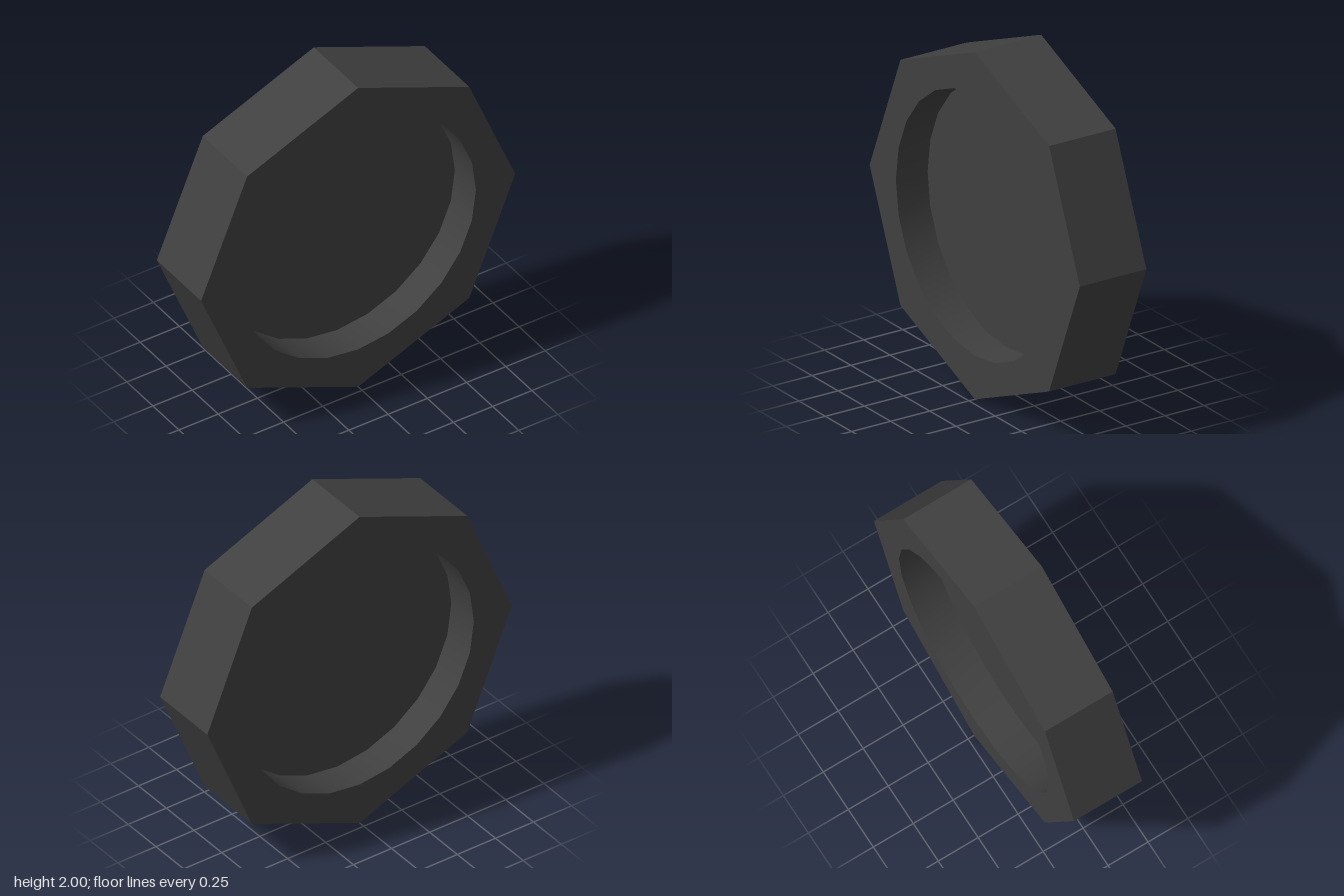
import * as THREE from 'three';
import { toCreasedNormals } from 'three/addons/utils/BufferGeometryUtils.js';

const DEPTH = 0.425;
const BORE_RADIUS = 0.75;
const BORE_SIDES = 24;

// Corners of a regular polygon, starting on +x
function polygon(radius, sides) {
  return Array.from({ length: sides }, (_, i) => {
    const a = (i / sides) * Math.PI * 2;
    return new THREE.Vector2(Math.cos(a) * radius, Math.sin(a) * radius);
  });
}

export function createModel() {
  const model = new THREE.Group();
  model.name = 'octagonalWheel';
  const material = new THREE.MeshStandardMaterial({ color: 0x404040 });

  // Octagonal rim: flat outer sides, smooth round bore
  const outline = new THREE.Shape(polygon(1, 8));
  outline.holes.push(new THREE.Path(polygon(BORE_RADIUS, BORE_SIDES)));
  const rimGeometry = new THREE.ExtrudeGeometry(outline, { depth: DEPTH, bevelEnabled: false });
  rimGeometry.translate(0, 0, -DEPTH / 2);
  const rim = new THREE.Mesh(toCreasedNormals(rimGeometry, Math.PI / 6), material);
  rim.name = 'rim';

  // Thin web closing the bore halfway through, recessed on both faces
  const webGeometry = new THREE.CylinderGeometry(BORE_RADIUS, BORE_RADIUS, 0.02, BORE_SIDES);
  webGeometry.rotateX(Math.PI / 2);
  const web = new THREE.Mesh(webGeometry, material);
  web.name = 'web';

  model.add(rim, web);
  model.position.y = 1;
  return model;
}
